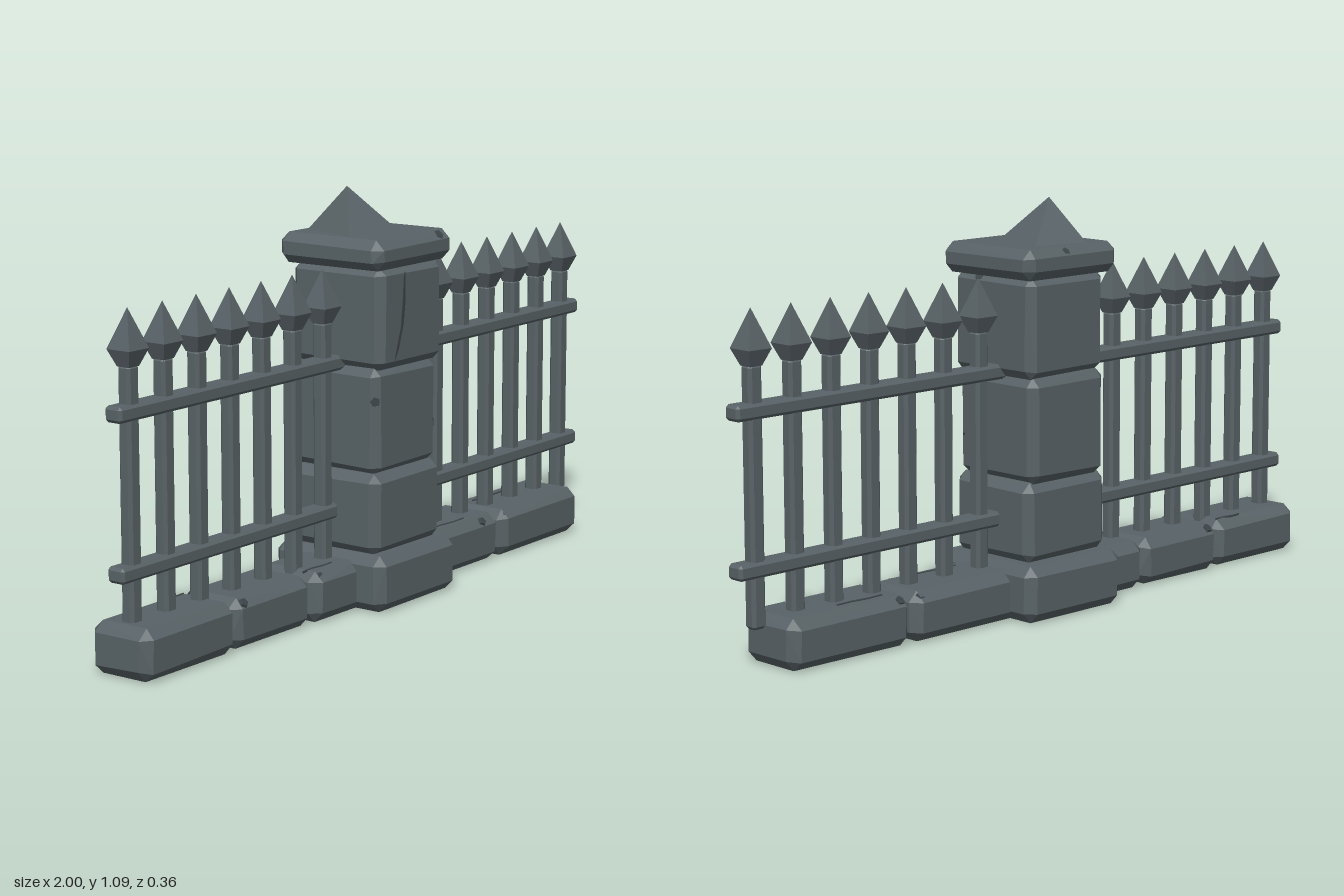
import * as THREE from 'three';
import { ConvexGeometry } from 'three/addons/geometries/ConvexGeometry.js';

const stone = new THREE.MeshStandardMaterial({ color: 0x586266, flatShading: true });
stone.name = 'slate grey';
const recess = new THREE.MeshStandardMaterial({ color: 0x3c4447, flatShading: true });
recess.name = 'dark recess';

let seed = 7;
const rand = () => ((seed = (seed * 16807) % 2147483647) / 2147483647) - 0.5;

// Box with chamfered edges, given as [min, max] per axis; wobble roughens its corners
function block(name, xr, yr, zr, chamfer, wobble = 0) {
  const ranges = [xr, yr, zr];
  const mid = ranges.map(([a, b]) => (a + b) / 2);
  const half = ranges.map(([a, b]) => (b - a) / 2);
  const points = [];
  for (const sx of [-1, 1]) for (const sy of [-1, 1]) for (const sz of [-1, 1]) {
    const s = [sx, sy, sz];
    for (let axis = 0; axis < 3; axis++) {
      const p = s.map((sign, i) => {
        const jitter = i === axis ? 0 : rand() * wobble;
        return mid[i] + sign * (half[i] - (i === axis ? 0 : chamfer)) + jitter;
      });
      points.push(new THREE.Vector3(...p));
    }
  }
  const mesh = new THREE.Mesh(new ConvexGeometry(points), stone);
  mesh.name = name;
  return mesh;
}

// Small five-sided worn spot lying on a surface with the given normal
function chip(position, normal, radius) {
  const mesh = new THREE.Mesh(new THREE.CylinderGeometry(radius * 0.8, radius, 0.006, 5), recess);
  mesh.name = 'chip';
  mesh.position.set(...position);
  mesh.quaternion.setFromUnitVectors(new THREE.Vector3(0, 1, 0), new THREE.Vector3(...normal).normalize());
  return mesh;
}

// Thin crack plate following a polyline, widest in the middle
function crack(points, width) {
  const last = points.length - 1;
  const side = (sign) => points.map(([x, y], i) =>
    new THREE.Vector2(x + sign * width * (i === 0 || i === last ? 0.2 : 0.5), y + sign * width * 0.25));
  const shape = new THREE.Shape([...side(-1), ...side(1).reverse()]);
  const mesh = new THREE.Mesh(new THREE.ExtrudeGeometry(shape, { depth: 0.004, bevelEnabled: false }), recess);
  mesh.name = 'crack';
  return mesh;
}

function makePillar() {
  const pillar = new THREE.Group();
  pillar.name = 'pillar';
  pillar.add(
    block('pillarBase', [-0.178, 0.172], [0, 0.15], [-0.178, 0.178], 0.026, 0.004),
    block('lowerPillarStone', [-0.163, 0.136], [0.145, 0.36], [-0.133, 0.15], 0.024, 0.006),
    block('middlePillarStone', [-0.147, 0.127], [0.355, 0.635], [-0.141, 0.14], 0.022, 0.006),
    block('upperPillarStone', [-0.147, 0.132], [0.63, 0.895], [-0.138, 0.154], 0.022, 0.006),
    block('pillarCap', [-0.17, 0.165], [0.89, 0.97], [-0.165, 0.165], 0.024, 0.004));

  // Off-centre, twisted pyramid on the cap
  const y = 0.965;
  const peak = new THREE.Mesh(new ConvexGeometry([
    [-0.135, y, 0.045], [-0.08, y, -0.135], [0.08, y, -0.1], [0.045, y, 0.075], [-0.035, 1.085, -0.037],
  ].map((p) => new THREE.Vector3(...p))), stone);
  peak.name = 'capPyramid';
  pillar.add(peak);

  const faceCrack = crack([[-0.045, 0.875], [-0.047, 0.8], [-0.055, 0.74], [-0.075, 0.68], [-0.085, 0.655]], 0.012);
  faceCrack.position.z = 0.151;
  pillar.add(faceCrack,
    chip([0.115, 0.57, 0.128], [1, 0, 1], 0.02),
    chip([0.115, 0.46, 0.128], [1, 0, 1], 0.022),
    chip([-0.136, 0.55, 0.128], [-1, 0, 1], 0.016),
    chip([0.12, 0.884, 0.06], [1, 1, 0], 0.018),
    chip([0.11, 0.957, 0.152], [0, 1, 1], 0.018),
    chip([0.02, 0.957, -0.152], [0, 1, -1], 0.014));
  return pillar;
}

function makeFooting() {
  const footing = new THREE.Group();
  footing.name = 'footing';
  const stones = [
    [-1, -0.658, -0.09, 0.096, 0.132], [-0.658, -0.348, -0.096, 0.09, 0.13],
    [-0.348, -0.1, -0.102, 0.1, 0.132], [0.1, 0.504, -0.102, 0.092, 0.132],
    [0.504, 0.9, -0.097, 0.1, 0.131],
  ];
  for (const [x0, x1, z0, z1, h] of stones) {
    footing.add(block('footingStone', [x0, x1], [0, h], [z0, z1], 0.026, 0.006));
  }

  // Worn spots along the top edges: x, side
  for (const [x, s] of [[-0.62, 1], [-0.62, -1], [-0.31, 1], [0.385, -1], [0.47, -1], [0.425, 1], [0.54, 1], [0.54, -1], [0.61, 1]]) {
    footing.add(chip([x, 0.119, s * 0.083], [0, 1, s], 0.015));
  }
  // Cracks lying on the top faces: centre x, z, length
  for (const [x, z, length] of [[0.3, 0.052, 0.16], [0.64, -0.045, 0.15], [-0.28, 0.05, 0.12], [-0.73, -0.06, 0.1]]) {
    const line = crack([[-length / 2, 0], [-length / 6, 0.004], [length / 6, -0.002], [length / 2, 0]], 0.014);
    line.rotation.x = -Math.PI / 2;
    line.position.set(x, 0.129, z);
    footing.add(line);
  }
  return footing;
}

function makeFence() {
  const fence = new THREE.Group();
  fence.name = 'fence';
  for (const y of [0.254, 0.642]) {
    fence.add(block('rail', [-1, 1], [y - 0.02, y + 0.02], [-0.026, 0.026], 0.008));
  }

  // Four-sided spearhead, square to the fence line
  const spear = new THREE.LatheGeometry(
    [[0, 0.745], [0.026, 0.75], [0.05, 0.792], [0, 0.89]].map((p) => new THREE.Vector2(...p)), 4, Math.PI / 4);
  for (let i = 0; i < 16; i++) {
    if (i === 7 || i === 8) continue; // inside the pillar
    const x = -0.94 + i * 0.125;
    const head = new THREE.Mesh(spear, stone);
    head.name = 'spearhead';
    head.position.x = x;
    fence.add(block('fenceBar', [x - 0.021, x + 0.021], [0.105, 0.755], [-0.019, 0.019], 0.008), head);
  }
  return fence;
}

export function createModel() {
  seed = 7;
  const model = new THREE.Group();
  model.name = 'graveyardFence';
  model.add(makePillar(), makeFooting(), makeFence());
  return model;
}
